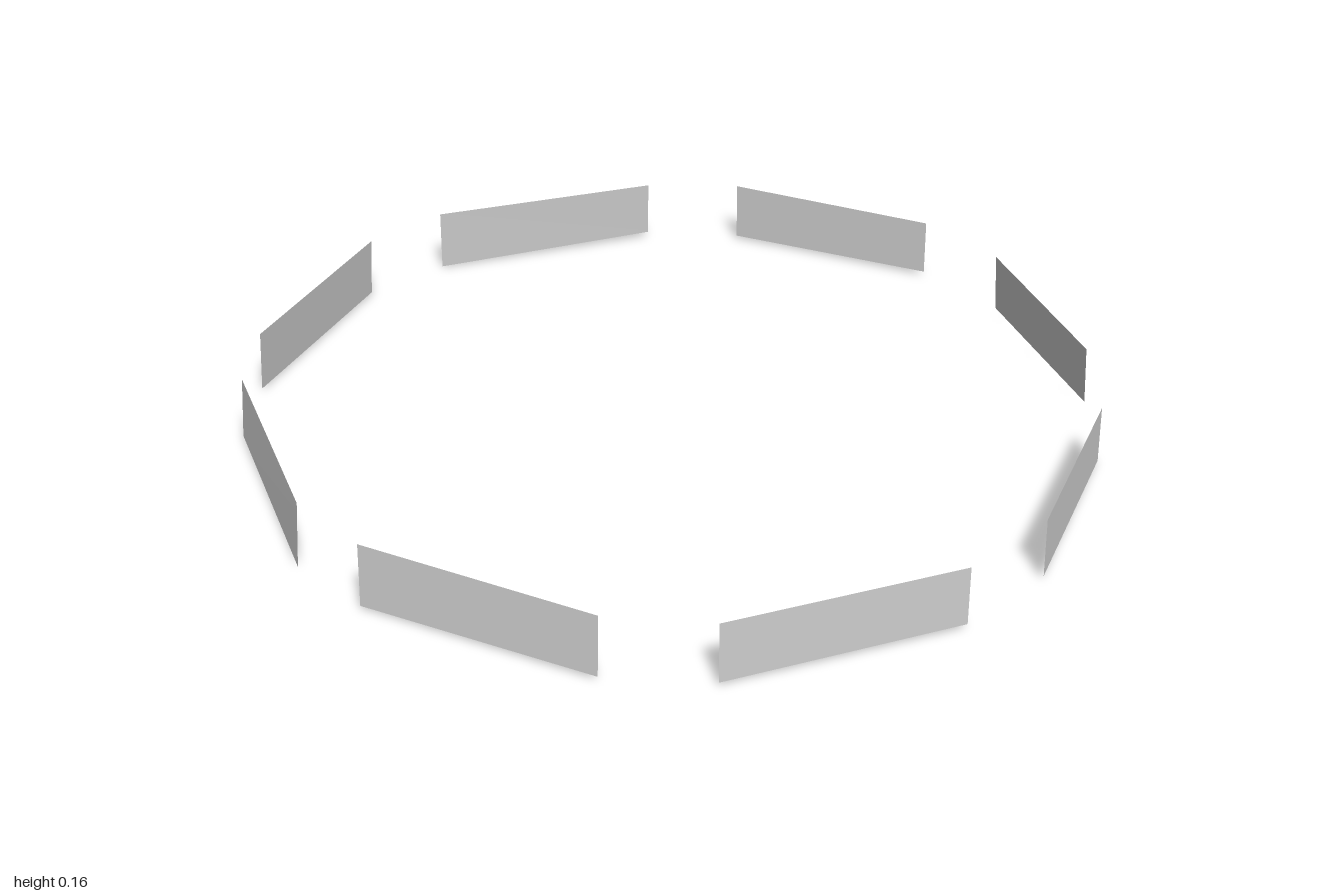
import * as THREE from 'three';

// Ring of eight upright panels: two foot ends [x, z], the foot and top heights, and inward lean at the top
const PANELS = [
  { name: 'frontPanel', a: [-0.26, 0.995], b: [0.297, 0.987], foot: [0.015, 0.02], top: [0.16, 0.162], lean: 0.002 },
  { name: 'frontLeftPanel', a: [0.53, 0.88], b: [0.868, 0.5], foot: [0.018, 0.018], top: [0.162, 0.16], lean: 0.003 },
  { name: 'leftPanel', a: [0.972, 0.243], b: [0.986, -0.27], foot: [0.015, 0.015], top: [0.163, 0.165], lean: 0.009 },
  { name: 'backLeftPanel', a: [0.896, -0.52], b: [0.501, -0.902], foot: [0.016, 0.012], top: [0.162, 0.165], lean: 0.004 },
  { name: 'backPanel', a: [0.27, -0.992], b: [-0.318, -1.0], foot: [0.02, 0.008], top: [0.166, 0.168], lean: 0.008 },
  { name: 'backRightPanel', a: [-0.535, -0.908], b: [-0.905, -0.5], foot: [0.012, 0.01], top: [0.165, 0.165], lean: 0.01 },
  { name: 'rightPanel', a: [-0.99, -0.287], b: [-0.976, 0.29], foot: [0.012, 0.005], top: [0.165, 0.168], lean: 0.011 },
  { name: 'frontRightPanel', a: [-0.882, 0.488], b: [-0.485, 0.896], foot: [0.012, 0.016], top: [0.165, 0.163], lean: 0.007 },
];

// Plane whose four corners are moved to the ends of the panel
function panelGeometry({ a, b, foot, top, lean }) {
  const geometry = new THREE.PlaneGeometry(1, 1);
  const length = Math.hypot(b[0] - a[0], b[1] - a[1]);
  const inX = (b[1] - a[1]) / length * lean;
  const inZ = -(b[0] - a[0]) / length * lean;
  const position = geometry.attributes.position;
  [a, b].forEach(([x, z], i) => {
    position.setXYZ(i, x + inX, top[i], z + inZ);
    position.setXYZ(i + 2, x, foot[i], z);
  });
  geometry.computeVertexNormals();
  return geometry;
}

export function createModel() {
  const model = new THREE.Group();
  model.name = 'panelRing';
  const grey = new THREE.MeshStandardMaterial({ color: 0xcccccc, side: THREE.DoubleSide });
  grey.name = 'light grey';
  for (const panel of PANELS) {
    const mesh = new THREE.Mesh(panelGeometry(panel), grey);
    mesh.name = panel.name;
    model.add(mesh);
  }
  return model;
}
